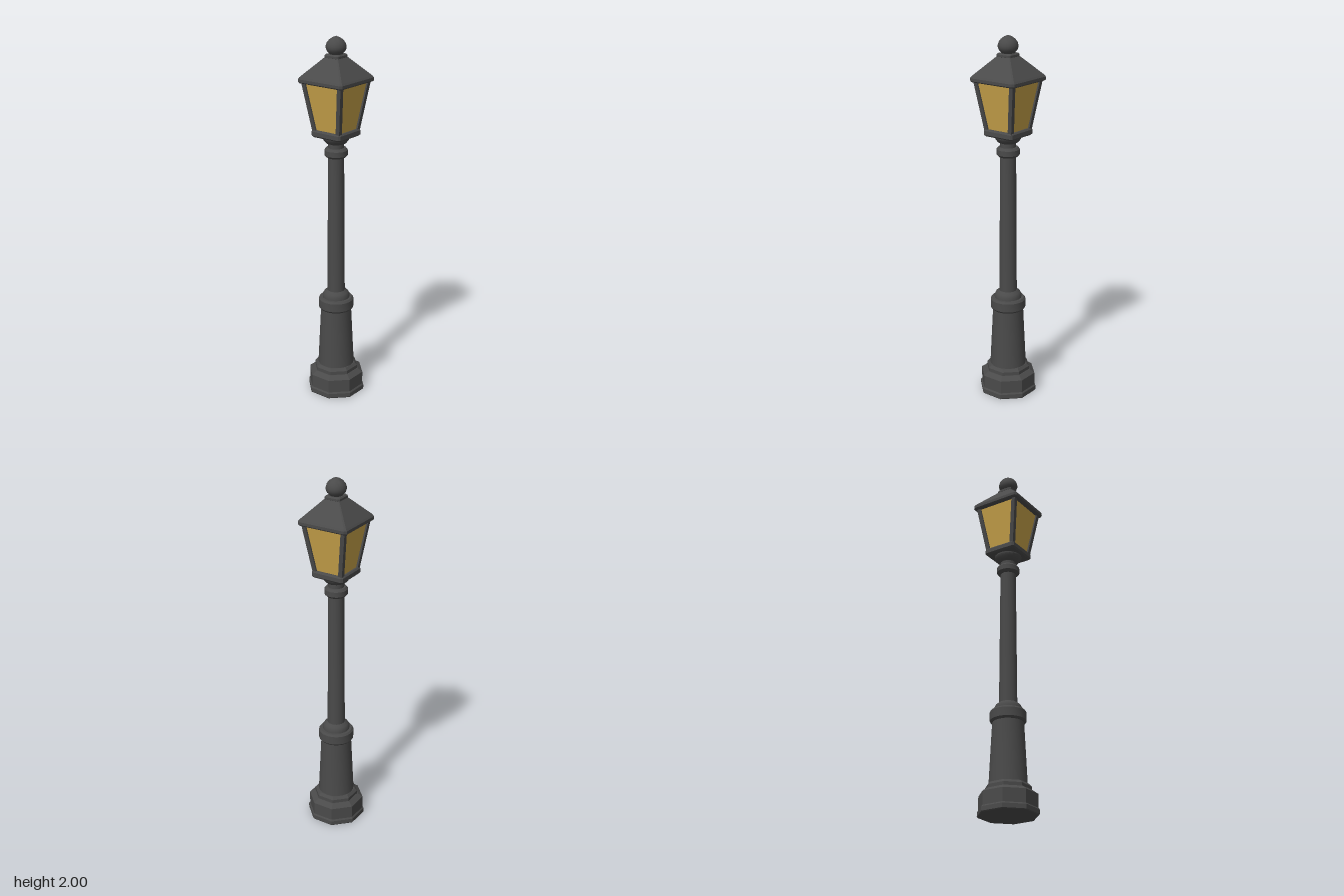
import * as THREE from 'three';
import { toCreasedNormals } from 'three/addons/utils/BufferGeometryUtils.js';

const metal = new THREE.MeshStandardMaterial({ color: 0x4a4a4a });
metal.name = 'dark iron';
const amber = new THREE.MeshStandardMaterial({ color: 0xc8a24a });
amber.name = 'amber glass';

const points = (profile, scale = 1) => profile.map(([r, y]) => new THREE.Vector2(r * scale, y));

// Turned part with crisp edges between its steps
function turned(profile, sides = 20) {
  return toCreasedNormals(new THREE.LatheGeometry(points(profile), sides), 0.6);
}

// Eight-sided part with flats facing the axes; profile gives the distance to the flats
function octagon(profile) {
  const geometry = new THREE.LatheGeometry(points(profile, 1 / Math.cos(Math.PI / 8)), 8, Math.PI / 8);
  return toCreasedNormals(geometry, 0.3);
}

// Square part with cut corners, lofted through rows of [half width, y, corner cut]
function squareLoft(rows) {
  const rings = rows.map(([h, y, c]) => [
    [h - c, y, h], [h, y, h - c], [h, y, c - h], [h - c, y, -h],
    [c - h, y, -h], [-h, y, c - h], [-h, y, h - c], [c - h, y, h],
  ]);
  const position = [];
  const tri = (a, b, c) => position.push(...a, ...b, ...c);
  for (let r = 0; r < rings.length - 1; r++) {
    for (let i = 0; i < 8; i++) {
      const j = (i + 1) % 8;
      const [a, b, c, d] = [rings[r][i], rings[r][j], rings[r + 1][j], rings[r + 1][i]];
      tri(a, b, c);
      tri(a, c, d);
    }
  }
  const bottom = rings[0], top = rings[rings.length - 1];
  for (let i = 1; i < 7; i++) {
    tri(bottom[0], bottom[i + 1], bottom[i]);
    tri(top[0], top[i], top[i + 1]);
  }
  const geometry = new THREE.BufferGeometry();
  geometry.setAttribute('position', new THREE.Float32BufferAttribute(position, 3));
  geometry.computeVertexNormals();
  return geometry;
}

export function createModel() {
  const model = new THREE.Group();
  model.name = 'streetLamp';
  const add = (name, geometry, material = metal) => {
    const mesh = new THREE.Mesh(geometry, material);
    mesh.name = name;
    model.add(mesh);
    return mesh;
  };

  // Octagonal foot
  add('foot', octagon([
    [0, 0], [0.144, 0], [0.148, 0.005], [0.148, 0.028], [0.142, 0.036],
    [0.142, 0.108], [0.116, 0.128], [0, 0.128],
  ]));
  add('footStep', octagon([[0, 0.125], [0.112, 0.125], [0.112, 0.147], [0.1, 0.162], [0, 0.162]]));

  // Tapered pedestal with its collars
  add('pedestal', turned([[0.1, 0.155], [0.083, 0.5]]));
  add('pedestalCollar', turned([
    [0, 0.493], [0.088, 0.493], [0.096, 0.503], [0.096, 0.55], [0.088, 0.56], [0, 0.56],
  ]));
  add('pedestalNeck', turned([[0.074, 0.555], [0.074, 0.575], [0.066, 0.59], [0.05, 0.602], [0, 0.602]]));

  // Slender shaft and upper collar
  add('shaft', turned([[0.048, 0.595], [0.042, 1.44]]));
  add('shaftCollar', turned([
    [0, 1.362], [0.05, 1.362], [0.062, 1.374], [0.062, 1.402], [0.052, 1.414], [0, 1.414],
  ]));
  add('lanternCup', turned([
    [0.042, 1.436], [0.054, 1.441], [0.066, 1.455], [0.074, 1.468], [0.074, 1.485], [0, 1.485],
  ]));

  // Lantern floor plate
  add('lanternFloor', squareLoft([
    [0.087, 1.475, 0.009], [0.095, 1.483, 0.01], [0.095, 1.505, 0.01], [0.088, 1.513, 0.009],
  ]));

  // Glass panes, slightly recessed between the posts
  const low = 1.505, high = 1.77;
  const pane = new THREE.BoxGeometry(1, high - low, 0.006);
  const p = pane.attributes.position;
  for (let i = 0; i < p.count; i++) {
    const up = p.getY(i) > 0;
    p.setXYZ(i, p.getX(i) * (up ? 0.222 : 0.14), up ? high : low, p.getZ(i) + (up ? 0.116 : 0.075));
  }
  pane.computeVertexNormals();
  for (let i = 0; i < 4; i++) add('glassPane', pane, amber).rotation.y = i * Math.PI / 2;

  // Leaning corner posts
  const post = new THREE.BoxGeometry(0.023, high - low, 0.023);
  const q = post.attributes.position;
  for (let i = 0; i < q.count; i++) {
    const up = q.getY(i) > 0, shift = up ? 0.117 : 0.077;
    q.setXYZ(i, q.getX(i) + shift, up ? high : low, q.getZ(i) + shift);
  }
  post.computeVertexNormals();
  for (let i = 0; i < 4; i++) add('cornerPost', post).rotation.y = i * Math.PI / 2;

  // Hipped roof and its cap
  add('roof', squareLoft([
    [0.138, 1.762, 0.01], [0.144, 1.768, 0.012], [0.144, 1.783, 0.012],
    [0.137, 1.792, 0.008], [0.042, 1.893, 0.004],
  ]));
  add('roofCap', squareLoft([
    [0.04, 1.886, 0.006], [0.045, 1.891, 0.008], [0.045, 1.902, 0.008], [0.04, 1.908, 0.007],
  ]));

  // Pointed finial
  add('finial', turned([
    [0.032, 1.905], [0.038, 1.914], [0.048, 1.924], [0.053, 1.938], [0.053, 1.95],
    [0.048, 1.966], [0.037, 1.98], [0.02, 1.992], [0, 2],
  ]));

  return model;
}
